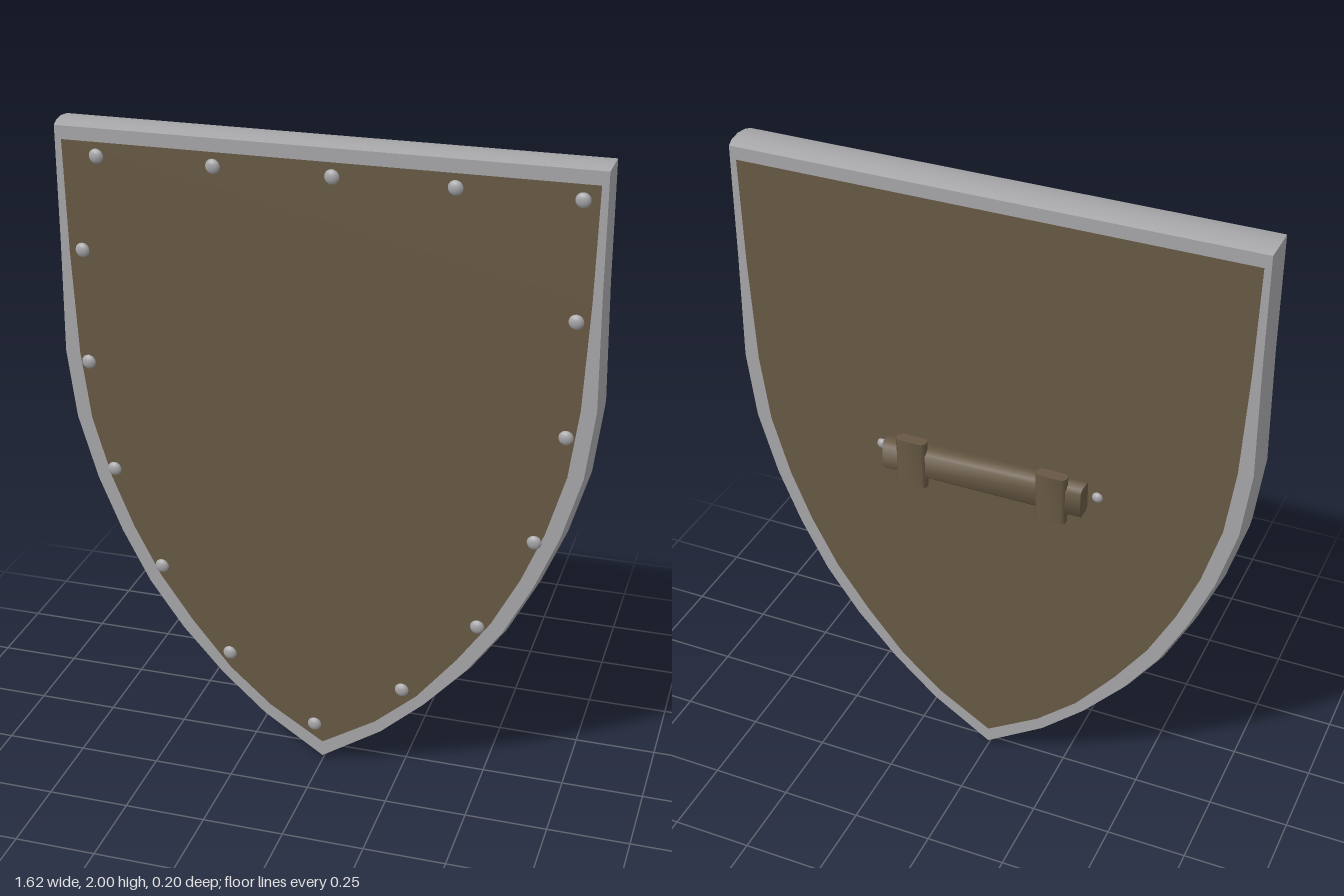
import * as THREE from 'three';
import { toCreasedNormals } from 'three/addons/utils/BufferGeometryUtils.js';

const FRONT = 0.088, BACK = -0.036;

// Right half of the outlines, from the top corner down to the tip
const OUTER = [[0.797, 2], [0.8, 1.65], [0.81, 1.3], [0.785, 1.09], [0.727, 0.89], [0.655, 0.715],
  [0.57, 0.55], [0.464, 0.4], [0.332, 0.256], [0.194, 0.13], [0, 0]];
const INNER = [[0.772, 1.949], [0.766, 1.62], [0.752, 1.3], [0.725, 1.09], [0.67, 0.9], [0.605, 0.74],
  [0.522, 0.58], [0.422, 0.437], [0.3, 0.287], [0.17, 0.172], [0, 0.066]];

// Mirror a half outline into a closed clockwise loop
function fullLoop(half) {
  const mirrored = half.slice(0, -1).reverse().map(([x, y]) => [-x, y]);
  return [...half, ...mirrored];
}

export function createModel() {
  const wood = new THREE.MeshStandardMaterial({ color: 0x675843 });
  wood.name = 'brown wood';
  const steel = new THREE.MeshStandardMaterial({ color: 0xa6a6a9 });
  steel.name = 'grey steel';

  const group = new THREE.Group();
  group.name = 'shield';
  const add = (name, geometry, material, x = 0, y = 0, z = 0, parent = group) => {
    const mesh = new THREE.Mesh(geometry, material);
    mesh.name = name;
    mesh.position.set(x, y, z);
    parent.add(mesh);
    return mesh;
  };

  // Wooden panel, flush with the rim on both sides
  const inner = fullLoop(INNER), outer = fullLoop(OUTER);
  const panelShape = new THREE.Shape(inner.map(([x, y]) => new THREE.Vector2(x, y)));
  const panel = new THREE.ExtrudeGeometry(panelShape, { depth: FRONT - BACK, bevelEnabled: false });
  add('panel', panel, wood, 0, 0, BACK);

  // Steel rim: cross-section of [inset from outer edge, z], swept round the outline
  const section = [[1, FRONT], [0.22, FRONT], [0.07, 0.062], [0, 0.025], [0.07, -0.013], [0.22, BACK], [1, BACK]];
  const n = outer.length, m = section.length;
  const positions = [], indices = [];
  for (let i = 0; i < n; i++) {
    for (const [t, z] of section) {
      positions.push(
        THREE.MathUtils.lerp(outer[i][0], inner[i][0], t),
        THREE.MathUtils.lerp(outer[i][1], inner[i][1], t), z);
    }
    for (let j = 0; j < m - 1; j++) {
      const a = i * m + j, b = ((i + 1) % n) * m + j;
      indices.push(a, b, a + 1, b, b + 1, a + 1);
    }
  }
  const rim = new THREE.BufferGeometry();
  rim.setAttribute('position', new THREE.Float32BufferAttribute(positions, 3));
  rim.setIndex(indices);
  add('rim', toCreasedNormals(rim, 0.6), steel);

  // Rivets round the front edge
  const rivet = new THREE.SphereGeometry(0.022, 12, 8);
  const rivets = [[-0.667, 1.908], [-0.317, 1.908], [0.03, 1.908], [0.378, 1.908], [0.725, 1.905],
    [0.725, 1.56], [0.715, 1.212], [0.64, 0.87], [0.482, 0.563], [0.254, 0.303], [-0.026, 0.128],
    [-0.302, 0.34], [-0.518, 0.615], [-0.66, 0.929], [-0.725, 1.273], [-0.725, 1.623]];
  for (const [x, y] of rivets) add('frontRivet', rivet, steel, x, y, FRONT).scale.z = 0.55;

  // Handle on the back: chamfered bar, two straps and a rivet at each end
  const handle = new THREE.Group();
  handle.name = 'handle';
  handle.position.y = 1.1;
  group.add(handle);
  const chamfered = (w, h, c, depth) => {
    const s = new THREE.Shape();
    s.moveTo(-w / 2 + c, -h / 2).lineTo(w / 2 - c, -h / 2).lineTo(w / 2, -h / 2 + c);
    s.lineTo(w / 2, h / 2 - c).lineTo(w / 2 - c, h / 2).lineTo(-w / 2 + c, h / 2);
    s.lineTo(-w / 2, h / 2 - c).lineTo(-w / 2, -h / 2 + c).closePath();
    const bar = new THREE.ExtrudeGeometry(s, { depth, bevelEnabled: false });
    return toCreasedNormals(bar.translate(0, 0, -depth / 2), 0.9);
  };
  const bar = chamfered(0.062, 0.096, 0.011, 0.63).rotateY(Math.PI / 2);
  add('bar', bar, wood, 0, 0, -0.065, handle);
  const strap = chamfered(0.095, 0.036, 0.01, 0.156).rotateX(Math.PI / 2);
  for (const side of [-1, 1]) {
    add('strap', strap, wood, side * 0.222, 0, -0.086, handle);
    add('handleRivet', rivet, steel, side * 0.345, 0, BACK, handle).scale.set(0.75, 0.75, 0.55);
  }
  return group;
}
